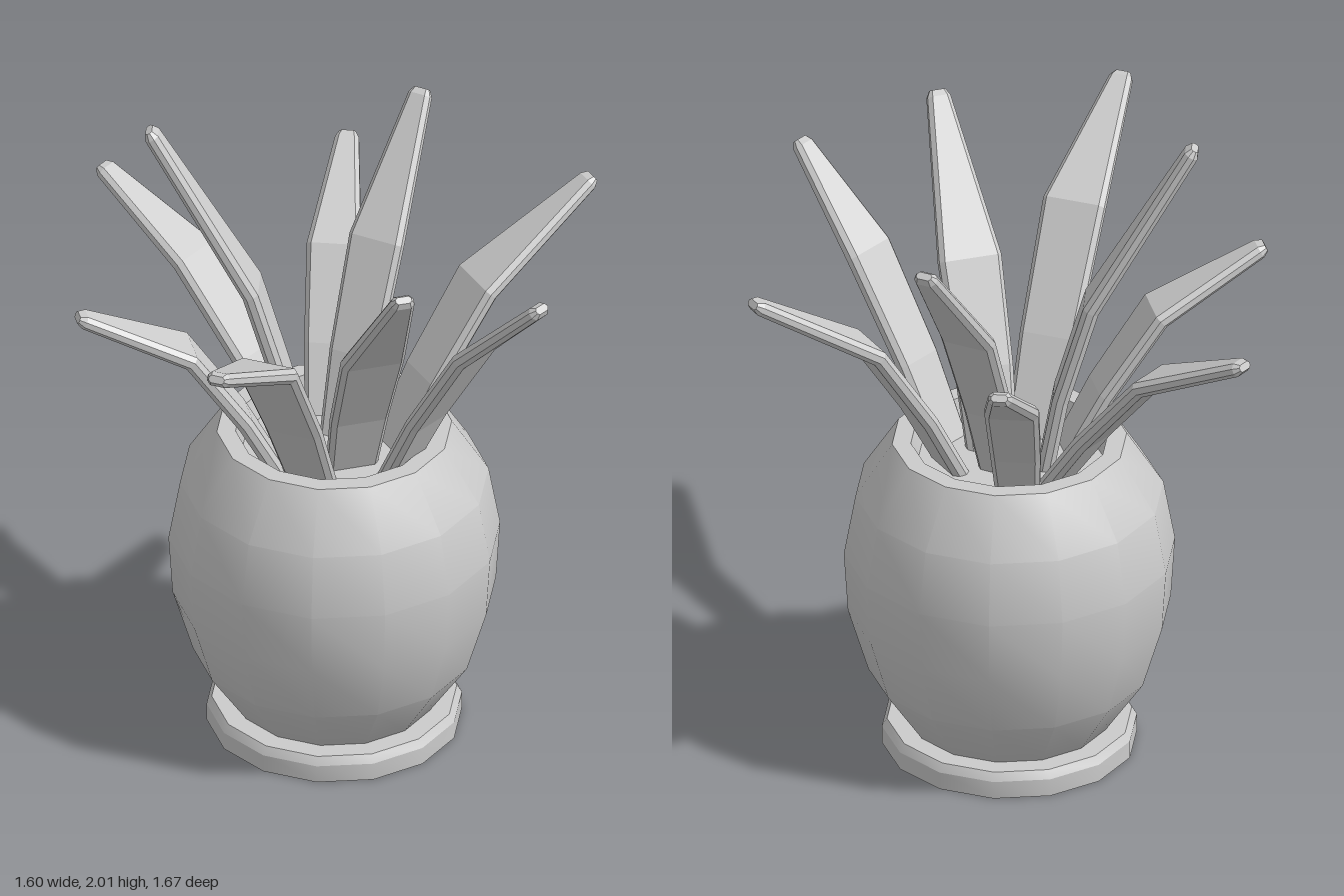
import * as THREE from 'three';
import { toCreasedNormals } from 'three/addons/utils/BufferGeometryUtils.js';

const SIDES = 14;
const grey = new THREE.MeshStandardMaterial({ color: 0xcccccc });
const faceted = new THREE.MeshStandardMaterial({ color: 0xcccccc, flatShading: true });
const V = (x, y, z) => new THREE.Vector3(x, y, z);

// Turned part from a [radius, height] profile
function turned(name, profile) {
  const points = profile.map(([r, y]) => new THREE.Vector2(r, y));
  const lathe = new THREE.LatheGeometry(points, SIDES, Math.PI / 2);
  const mesh = new THREE.Mesh(toCreasedNormals(lathe, 0.5), grey);
  mesh.name = name;
  mesh.position.set(0.045, 0, -0.12);
  return mesh;
}

// Thick, chamfered leaf swept through base, bend and tip
function leaf(base, bend, tip, width) {
  const out = tip.clone().sub(base).setY(0).normalize();
  const side = V(0, 1, 0).cross(out).normalize();
  const low = base.clone().lerp(bend, 0.45).addScaledVector(out, -0.015);
  const end = tip.clone().lerp(bend, 0.02 / tip.distanceTo(bend));
  const path = [base, low, bend, end, tip];
  const halfWidths = [0.4, 0.46, 0.5, 0, 0].map((k) => k * width);
  halfWidths[3] = 0.035;
  halfWidths[4] = 0.024;
  const halfThick = [0.024, 0.024, 0.024, 0.021, 0.011];

  const pos = [], index = [];
  path.forEach((p, i) => {
    const a = path[Math.max(i - 1, 0)], b = path[Math.min(i + 1, path.length - 1)];
    const along = b.clone().sub(p).normalize().add(p.clone().sub(a).normalize()).normalize();
    const up = along.clone().cross(side).normalize();
    const w = halfWidths[i], t = halfThick[i], c = Math.min(0.014, t * 0.6);
    // Octagon section, counter-clockwise seen from the tip
    const section = [[w, -t + c], [w, t - c], [w - c, t], [-w + c, t],
      [-w, t - c], [-w, -t + c], [-w + c, -t], [w - c, -t]];
    for (const [s, u] of section) {
      const q = p.clone().addScaledVector(side, s).addScaledVector(up, u);
      pos.push(q.x, q.y, q.z);
    }
  });
  for (let i = 0; i < path.length - 1; i++) {
    for (let j = 0; j < 8; j++) {
      const a = i * 8 + j, b = i * 8 + (j + 1) % 8;
      index.push(a, b, b + 8, a, b + 8, a + 8);
    }
  }
  // End caps
  const last = (path.length - 1) * 8;
  for (let j = 1; j < 7; j++) {
    index.push(0, j + 1, j, last, last + j, last + j + 1);
  }
  const geo = new THREE.BufferGeometry();
  geo.setAttribute('position', new THREE.Float32BufferAttribute(pos, 3));
  geo.setIndex(index);
  const flat = geo.toNonIndexed();
  flat.computeVertexNormals();
  return new THREE.Mesh(flat, faceted);
}

export function createModel() {
  const model = new THREE.Group();
  model.name = 'pottedPlant';

  model.add(turned('saucer', [[0, 0], [0.375, 0], [0.375, 0.055], [0.36, 0.08], [0, 0.08]]));
  model.add(turned('pot', [[0.29, 0.07], [0.3, 0.08], [0.415, 0.25], [0.475, 0.45], [0.487, 0.64],
    [0.453, 0.83], [0.345, 1], [0.29, 1], [0.27, 0.92]]));
  model.add(turned('soil', [[0.275, 0.93], [0, 0.93]]));

  // Leaves: base, bend, tip, width
  const leaves = [
    [V(0.035, 0.91, 0.04), V(0.035, 1.51, 0.41), V(0.035, 1.73, 0.825), 0.19],
    [V(0.12, 0.91, -0.06), V(0.26, 1.43, 0.13), V(0.45, 1.83, 0.375), 0.19],
    [V(0.25, 0.91, -0.07), V(0.54, 1.46, 0.03), V(0.79, 1.73, 0.13), 0.17],
    [V(0.19, 0.91, -0.2), V(0.38, 1.4, -0.42), V(0.63, 1.65, -0.71), 0.19],
    [V(0.045, 0.91, -0.18), V(0.068, 1.48, -0.41), V(0.1, 1.84, -0.7), 0.17],
    [V(-0.04, 0.91, -0.28), V(-0.115, 1.34, -0.54), V(-0.18, 1.55, -0.825), 0.16],
    [V(-0.11, 0.91, -0.19), V(-0.46, 1.38, -0.29), V(-0.79, 1.55, -0.4), 0.17],
    [V(-0.06, 0.91, -0.1), V(-0.19, 1.47, -0.06), V(-0.48, 2, 0.025), 0.15],
    [V(-0.08, 0.91, 0.02), V(-0.31, 1.35, 0.16), V(-0.58, 1.52, 0.35), 0.17],
  ];
  const foliage = new THREE.Group();
  foliage.name = 'leaves';
  leaves.forEach((args, i) => {
    const mesh = leaf(...args);
    mesh.name = `leaf${i + 1}`;
    foliage.add(mesh);
  });
  model.add(foliage);
  return model;
}
